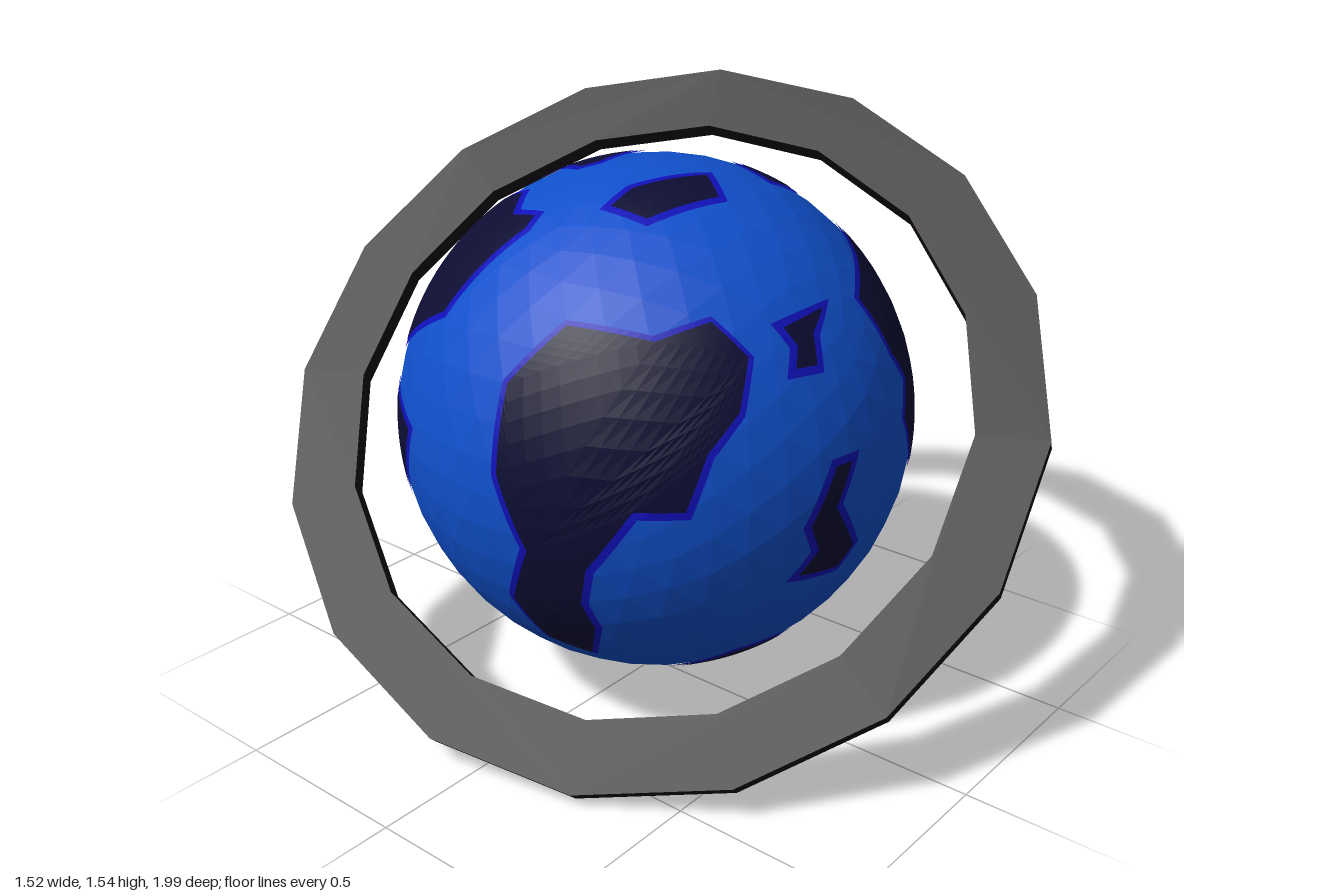
import * as THREE from 'three';

const R = 0.675;
const rad = THREE.MathUtils.degToRad;
const mat = (color) => new THREE.MeshStandardMaterial({ color, flatShading: true });
const seaMat = mat(0x1050cc), landMat = mat(0x0d0d33), shoreMat = mat(0x1010b8), ringMat = mat(0x150d15);

// A drawing disc tangent to the globe: yaw and pitch of its axis, its centre and radius in drawing units
function disc(yaw, pitch, cx, cy, r) {
  const a = rad(yaw), e = rad(pitch);
  const axis = new THREE.Vector3(Math.cos(e) * Math.sin(a), Math.sin(e), Math.cos(e) * Math.cos(a));
  const right = new THREE.Vector3(Math.cos(a), 0, -Math.sin(a));
  const up = axis.clone().cross(right);
  return (px, py) => {
    const u = (px - cx) / r, v = (cy - py) / r;
    const d = Math.sqrt(Math.max(0.0, 1 - u * u - v * v));
    return new THREE.Vector3().addScaledVector(right, u).addScaledVector(up, v).addScaledVector(axis, d).normalize();
  };
}
// Longitude and latitude in degrees, longitude 0 at the front
const lonLat = (lon, lat) => new THREE.Vector3().setFromSphericalCoords(1, rad(90 - lat), rad(lon));

const front = disc(0, 0, 241, 227, 165);
const side = disc(90, 0, 686.5, 226.5, 126);
const top = disc(0, 90, 1136.5, 224.5, 127.5);
const backLow = disc(140, -27, 1133, 672, 121);
const backHigh = disc(210, 28, 683, 674, 121);

// Shrink a counter-clockwise polygon by w with limited mitres
function inset(pts, w) {
  const n = pts.length;
  return pts.map((p, i) => {
    const d1 = p.clone().sub(pts[(i + n - 1) % n]).normalize();
    const d2 = pts[(i + 1) % n].clone().sub(p).normalize();
    const m = new THREE.Vector2(-d1.y - d2.y, d1.x + d2.x).normalize();
    const k = Math.max(0.5, m.dot(new THREE.Vector2(-d1.y, d1.x)));
    return p.clone().addScaledVector(m, w / k);
  });
}

// Fill a tangent-plane polygon, subdivide it and wrap it onto a sphere
function wrap(pts, toSphere, radius) {
  const pos = [];
  const split = (a, b, c, level) => {
    if (level === 0) {
      for (const p of [a, b, c]) pos.push(...toSphere(p).multiplyScalar(radius).toArray());
      return;
    }
    const mid = (p, q) => p.clone().add(q).multiplyScalar(0.5);
    const ab = mid(a, b), bc = mid(b, c), ca = mid(c, a);
    split(a, ab, ca, level - 1);
    split(ab, b, bc, level - 1);
    split(ca, bc, c, level - 1);
    split(ab, bc, ca, level - 1);
  };
  for (const [i, j, k] of THREE.ShapeUtils.triangulateShape(pts, [])) split(pts[i], pts[j], pts[k], 3);
  const g = new THREE.BufferGeometry();
  g.setAttribute('position', new THREE.Float32BufferAttribute(pos, 3));
  g.computeVertexNormals();
  return g;
}

// A dark land mass with a bright shore around it
function land(name, frame, outline) {
  const dirs = outline.map(([a, b]) => frame(a, b));
  const n = dirs.reduce((s, d) => s.add(d), new THREE.Vector3()).normalize();
  const e1 = new THREE.Vector3(0, 1, 0.01).cross(n).normalize();
  const e2 = n.clone().cross(e1);
  const flat = dirs.map((d) => new THREE.Vector2(d.dot(e1), d.dot(e2)).divideScalar(d.dot(n)));
  if (THREE.ShapeUtils.area(flat) < 0) flat.reverse();
  const toSphere = (p) => n.clone().addScaledVector(e1, p.x).addScaledVector(e2, p.y).normalize();
  const g = new THREE.Group();
  g.name = name;
  const shore = new THREE.Mesh(wrap(flat, toSphere, R * 1.003), shoreMat);
  const ground = new THREE.Mesh(wrap(inset(flat, 0.03), toSphere, R * 1.006), landMat);
  shore.name = 'shore';
  ground.name = 'ground';
  g.add(shore, ground);
  return g;
}

// Flat sixteen-sided ring, tilted around the globe
function makeRing() {
  const polygon = (r) => Array.from({ length: 16 }, (_, i) =>
    new THREE.Vector2(r * Math.cos(i * Math.PI / 8), r * Math.sin(i * Math.PI / 8)));
  const shape = new THREE.Shape(polygon(1.03));
  shape.holes.push(new THREE.Path(polygon(0.845)));
  const geo = new THREE.ExtrudeGeometry(shape, { depth: 0.05, bevelEnabled: false });
  geo.translate(0, 0, -0.025);
  const n = new THREE.Vector3(-0.686, 0.68, 0.261).normalize();
  const u = new THREE.Vector3(0.64, 0.752, -0.277);
  u.addScaledVector(n, -u.dot(n)).normalize();
  geo.applyMatrix4(new THREE.Matrix4().makeBasis(u, n.clone().cross(u), n));
  const ring = new THREE.Mesh(geo, ringMat);
  ring.name = 'ring';
  ring.position.y = 0.7725;
  return ring;
}

export function createModel() {
  const model = new THREE.Group();
  model.name = 'ringedPlanet';
  const planet = new THREE.Group();
  planet.name = 'planet';
  planet.position.set(0.01, 0.765, 0);
  const globe = new THREE.Mesh(new THREE.IcosahedronGeometry(R, 7), seaMat);
  globe.name = 'globe';
  planet.add(globe);

  // Large continents
  planet.add(land('mainContinent', lonLat, [
    [10, 36], [29, 42.7], [40, 46], [62, 46], [76, 45], [90, 40], [90, 33], [78, 23], [81, 18], [77, 10],
    [80, 2], [77, -7], [50, -7], [23, -7], [14.5, 7.6], [19, 14.8], [14.7, 21.3]]));
  planet.add(land('westContinent', lonLat, [
    [-73, 38], [-51, 36], [-36.6, 39.5], [-28, 30.6], [-32, 19.5], [-39, 12], [-43.6, 0], [-54, 0], [-63, -13],
    [-65, -22], [-63, -30], [-68, -45], [-82, -40], [-86, -25], [-79, -10], [-85, 5], [-85, 24]]));
  planet.add(land('southContinent', lonLat, [
    [20, -31], [44, -33], [47, -38], [62, -36], [76, -26], [85, -37], [104, -51], [113, -46], [87, -78],
    [48, -66], [42, -54], [33, -44], [22, -45]]));

  // Front islands
  planet.add(land('frontUpperIsland', front, [[192, 129], [240, 125], [219, 140], [212, 158], [187, 157], [196, 142]]));
  planet.add(land('frontMiddleIsland', front, [
    [205, 206], [228, 206], [214, 236], [238, 270], [226, 287], [184, 281], [195, 262], [186, 244]]));
  planet.add(land('frontLowerIsland', front, [[176, 358], [190, 342], [226, 338], [236, 370], [224, 379], [186, 378]]));

  // Islands around the north pole
  planet.add(land('northBackIsland', top, [
    [1112, 140], [1157, 133], [1167, 148], [1160, 165], [1172, 182], [1166, 206], [1119, 206], [1111, 197], [1120, 178], [1108, 158]]));
  planet.add(land('northWestIsland', top, [
    [1050, 138], [1085, 137], [1104, 158], [1097, 180], [1078, 192], [1076, 209], [1065, 210], [1035, 184]]));
  planet.add(land('northFrontIsland', top, [[1083, 236], [1102, 236], [1141, 254], [1126, 275], [1086, 261]]));
  planet.add(land('northEastIsland', top, [[1188, 226], [1193, 240], [1209, 240], [1188, 271], [1168, 268], [1170, 247]]));

  // Islands on the +x side
  planet.add(land('sideUpperIsland', side, [
    [720, 136], [753, 136], [765, 160], [757, 183], [767, 207], [732, 207], [722, 180], [726, 160]]));
  planet.add(land('sideLowerIsland', side, [
    [710, 228], [745, 229], [747, 246], [742, 263], [750, 284], [742, 284], [728, 268], [709, 264], [716, 245]]));

  // Back and south islands
  planet.add(land('backEastIsland', backLow, [[1146, 588], [1195, 592], [1190, 608], [1202, 635], [1166, 629], [1169, 608]]));
  planet.add(land('backLowerIsland', backLow, [[1147, 660], [1177, 652], [1188, 682], [1163, 711], [1141, 700], [1139, 667]]));
  planet.add(land('southPoleIsland', backLow, [
    [1136, 762], [1151, 760], [1158, 752], [1172, 757], [1171, 770], [1155, 778], [1150, 788], [1132, 787]]));
  planet.add(land('southWestIsland', backLow, [
    [1190, 745], [1205, 735], [1222, 712], [1241, 698], [1240, 725], [1228, 742], [1213, 758], [1193, 757]]));
  planet.add(land('backMiddleIsland', backHigh, [[662, 677], [686, 682], [672, 712], [676, 730], [638, 736], [650, 705]]));
  planet.add(land('backWestIsland', backHigh, [
    [718, 707], [755, 708], [749, 727], [737, 748], [717, 744], [722, 728], [714, 717]]));

  model.add(planet, makeRing());
  return model;
}
